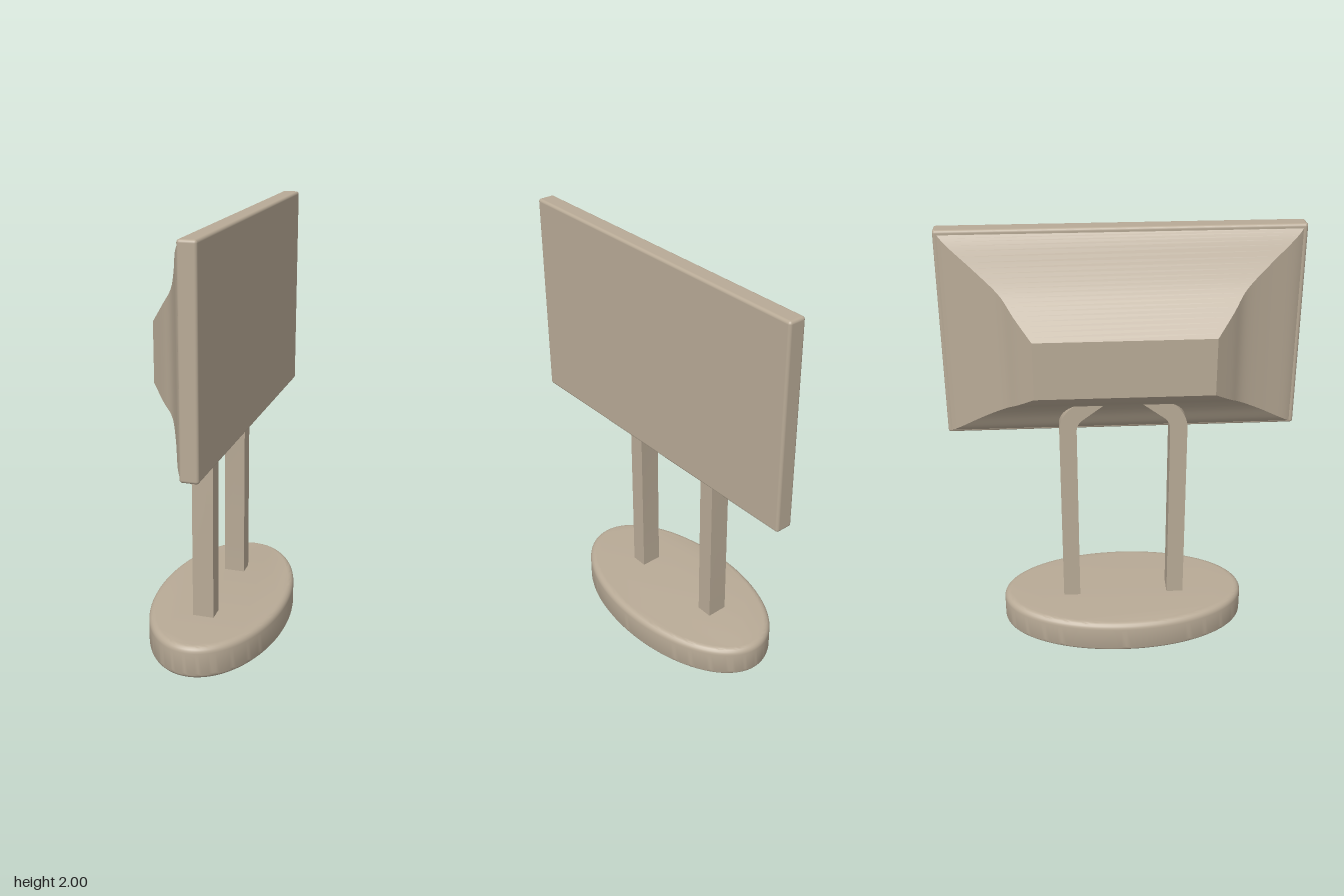
import * as THREE from 'three';
import { toCreasedNormals } from 'three/addons/utils/BufferGeometryUtils.js';
import { RoundedBoxGeometry } from 'three/addons/geometries/RoundedBoxGeometry.js';

const material = new THREE.MeshStandardMaterial({ color: 0xb8aa96 });

function part(name, geometry) {
  const mesh = new THREE.Mesh(geometry, material);
  mesh.name = name;
  return mesh;
}

// Oval foot with rounded rims
function baseGeometry() {
  const oval = new THREE.Shape();
  oval.absellipse(0, 0, 0.29, 0.56, 0, Math.PI * 2);
  const g = new THREE.ExtrudeGeometry(oval, {
    depth: 0.1, curveSegments: 72, bevelThickness: 0.03, bevelSize: 0.03, bevelSegments: 5,
  });
  g.rotateX(-Math.PI / 2).translate(0, 0.03, 0);
  return toCreasedNormals(g, 0.6);
}

// Flat post whose top curves inward and runs into the housing
function postGeometry() {
  const bend = 0.93, cz = 0.145, cy = 1.08;
  const run = 0.15, dz = -Math.sin(bend) * run, dy = Math.cos(bend) * run;
  const at = (r) => [cz + r * Math.cos(bend), cy + r * Math.sin(bend)];
  const [oz, oy] = at(0.15), [iz, iy] = at(0.07);
  const s = new THREE.Shape();
  s.moveTo(0.215, 0.14);
  s.lineTo(0.295, 0.14);
  s.lineTo(0.295, cy);
  s.absarc(cz, cy, 0.15, 0, bend, false);
  s.lineTo(oz + dz, oy + dy);
  s.lineTo(iz + dz, iy + dy);
  s.lineTo(iz, iy);
  s.absarc(cz, cy, 0.07, bend, 0, true);
  s.closePath();
  const g = new THREE.ExtrudeGeometry(s, { depth: 0.1, bevelEnabled: false, curveSegments: 12 });
  // shape x becomes z, extrusion runs along -x
  g.rotateY(-Math.PI / 2).translate(0.04, 0, 0);
  return toCreasedNormals(g, 0.5);
}

// Rear housing: rectangular sections that flare from the back plate to the panel
function housingGeometry() {
  const sections = [ // x, top, bottom, half width
    [-0.19, 1.58, 1.31, 0.4],
    [-0.12, 1.67, 1.252, 0.475],
    [-0.06, 1.75, 1.208, 0.535],
    [-0.01, 1.84, 1.145, 0.635],
    [0.04, 1.943, 1.066, 0.755],
    [0.075, 2.0, 1.03, 0.808],
  ];
  const spline = (f) => new THREE.CatmullRomCurve3(sections.map(f), false, 'catmullrom', 0.5);
  const upper = spline(([x, t, , w]) => new THREE.Vector3(x, t, w));
  const lower = spline(([x, , b]) => new THREE.Vector3(x, b, 0));
  const steps = 24, rings = [];
  for (let i = 0; i <= steps; i++) {
    const { x, y: top, z: w } = upper.getPoint(i / steps);
    const bottom = lower.getPoint(i / steps).y;
    rings.push([[x, bottom, -w], [x, bottom, w], [x, top, w], [x, top, -w]]);
  }
  const positions = [], index = [];
  const quad = (a, b, c, d) => index.push(a, b, c, a, c, d);
  // four separate sides keep the mitred corners sharp
  for (let k = 0; k < 4; k++) {
    const start = positions.length / 3;
    rings.forEach((r, i) => {
      positions.push(...r[k], ...r[(k + 1) % 4]);
      const a = start + 2 * i;
      if (i < steps) quad(a + 1, a, a + 2, a + 3);
    });
  }
  // back plate
  const n = positions.length / 3;
  rings[0].forEach((p) => positions.push(...p));
  quad(n, n + 1, n + 2, n + 3);
  const g = new THREE.BufferGeometry();
  g.setAttribute('position', new THREE.Float32BufferAttribute(positions, 3));
  g.setIndex(index);
  g.computeVertexNormals();
  return g;
}

export function createModel() {
  const model = new THREE.Group();
  model.name = 'displayOnStand';

  model.add(part('base', baseGeometry()));

  // Pair of posts, mirrored by a half turn and shifted back to the same depth
  const post = postGeometry();
  const frontPost = part('post', post);
  const otherPost = part('post', post);
  otherPost.rotation.y = Math.PI;
  otherPost.position.x = -0.02;
  model.add(frontPost, otherPost);

  // Screen slab
  const panel = part('screenPanel', new RoundedBoxGeometry(0.083, 0.97, 1.62, 4, 0.013));
  panel.position.set(0.1035, 1.515, 0);
  model.add(panel);

  model.add(part('rearHousing', housingGeometry()));
  return model;
}
